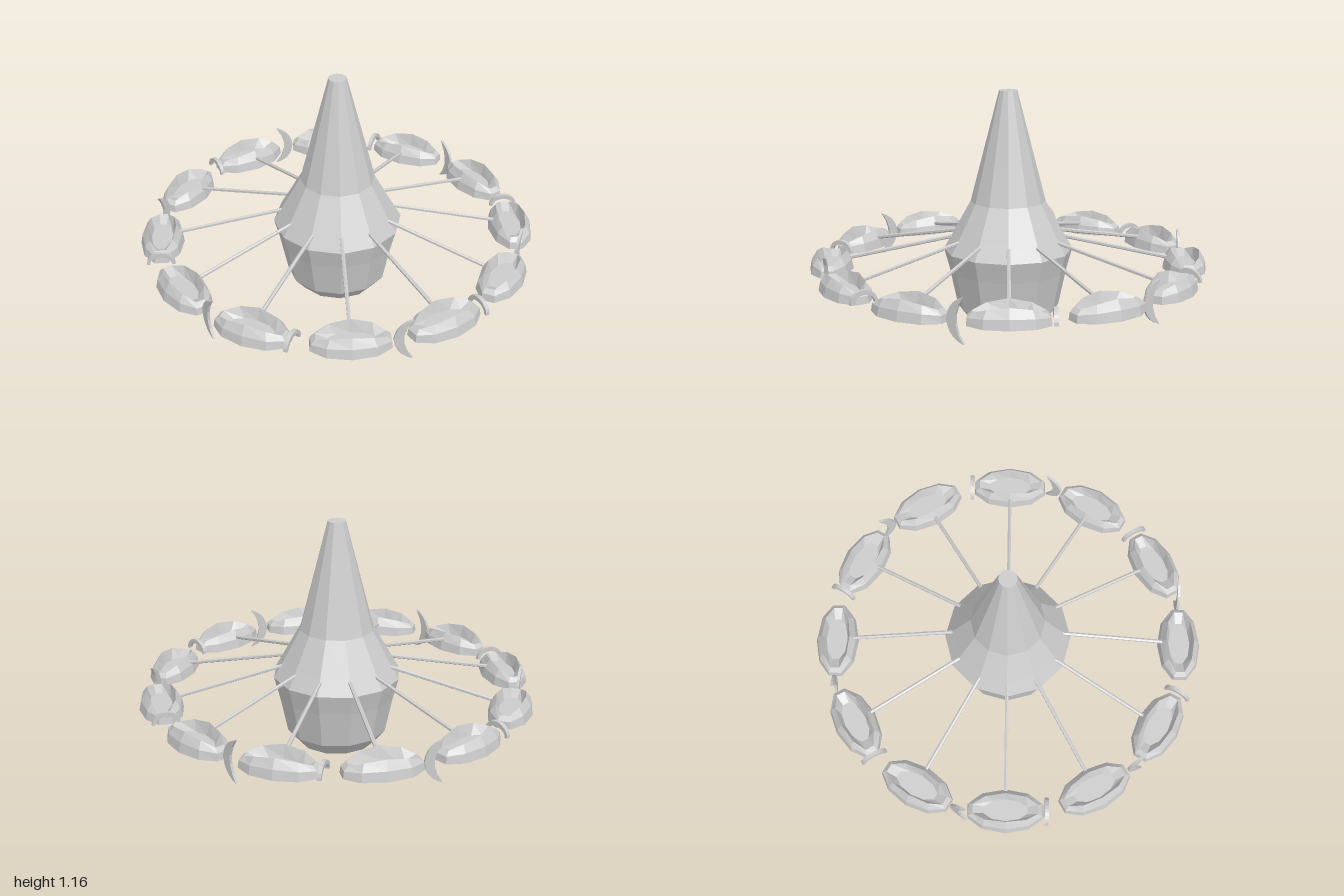
import * as THREE from 'three';

const mat = new THREE.MeshStandardMaterial({ color: 0xcccccc, flatShading: true, side: THREE.DoubleSide });

function mesh(name, geometry) {
  const m = new THREE.Mesh(geometry, mat);
  m.name = name;
  return m;
}

// Skin a list of closed rings, each with n points
function loft(rings) {
  const n = rings[0].length, index = [];
  for (let r = 0; r < rings.length - 1; r++) {
    for (let i = 0; i < n; i++) {
      const a = r * n + i, b = r * n + (i + 1) % n;
      index.push(a, b, a + n, b, b + n, a + n);
    }
  }
  const g = new THREE.BufferGeometry();
  g.setAttribute('position', new THREE.Float32BufferAttribute(rings.flat(2), 3));
  g.setIndex(index);
  g.computeVertexNormals();
  return g;
}

// Ten-sided oval ring; drop lowers the two ends
function oval(a, b, y, drop = 0) {
  return Array.from({ length: 10 }, (_, i) => {
    const t = Math.PI / 2 + i * Math.PI / 5;
    return [a * Math.cos(t), y - drop * Math.cos(t) ** 2, b * Math.sin(t)];
  });
}

// Open boat-like car: floor, cockpit wall, outer hull, underside rim, recess
const hullGeometry = loft([
  oval(0.001, 0.001, 0.29),
  oval(0.115, 0.055, 0.29),
  oval(0.172, 0.072, 0.355, 0.042),
  oval(0.195, 0.1, 0.31, 0.015),
  oval(0.2, 0.11, 0.26),
  oval(0.14, 0.07, 0.26),
  oval(0.115, 0.055, 0.29),
]);

// Upright crescent tail, tips pointing away from the car
function crescentGeometry() {
  const s = new THREE.Shape();
  s.moveTo(0.285, 0.39);
  s.quadraticCurveTo(0.205, 0.365, 0.195, 0.28);
  s.quadraticCurveTo(0.205, 0.195, 0.285, 0.17);
  s.quadraticCurveTo(0.2, 0.28, 0.285, 0.39);
  const g = new THREE.ExtrudeGeometry(s, { depth: 0.014, bevelEnabled: false, curveSegments: 5 });
  return g.translate(0, 0, -0.007);
}

// Small arched tail, spanning across the car
function archGeometry() {
  const s = new THREE.Shape();
  s.absellipse(0, 0, 0.07, 0.065, 0, Math.PI, false);
  s.absellipse(0, 0, 0.054, 0.042, Math.PI, 0, true);
  const g = new THREE.ExtrudeGeometry(s, { depth: 0.02, bevelEnabled: false, curveSegments: 6 });
  return g.rotateY(Math.PI / 2).translate(0.195, 0.27, 0);
}

// Straight bar between two points
function barGeometry(from, to, radius) {
  const d = to.clone().sub(from);
  const g = new THREE.CylinderGeometry(radius, radius, d.length(), 6);
  g.applyQuaternion(new THREE.Quaternion().setFromUnitVectors(new THREE.Vector3(0, 1, 0), d.normalize()));
  const mid = from.clone().add(to).multiplyScalar(0.5);
  return g.translate(mid.x, mid.y, mid.z);
}

export function createModel() {
  const model = new THREE.Group();
  model.name = 'carousel';

  // Twelve-sided central tower
  const profile = [
    [0, 0], [0.197, 0], [0.255, 0.07], [0.295, 0.26], [0.323, 0.365],
    [0.275, 0.45], [0.187, 0.61], [0.045, 1.165], [0, 1.165],
  ].map(([r, y]) => new THREE.Vector2(r, y));
  model.add(mesh('tower', new THREE.LatheGeometry(profile, 12)));

  const arm = barGeometry(new THREE.Vector3(0, 0.43, 0.265), new THREE.Vector3(0, 0.315, 0.81), 0.01);
  const crescent = crescentGeometry(), arch = archGeometry();

  // Twelve arms and cars, with the two tail kinds alternating
  for (let i = 0; i < 12; i++) {
    const spoke = new THREE.Group();
    spoke.name = 'spoke';
    spoke.rotation.y = i * Math.PI / 6;
    const car = new THREE.Group();
    car.name = 'car';
    car.position.z = 0.89;
    car.add(mesh('hull', hullGeometry));
    car.add(i % 2 ? mesh('uprightTail', crescent) : mesh('archedTail', arch));
    spoke.add(mesh('arm', arm), car);
    model.add(spoke);
  }
  return model;
}
